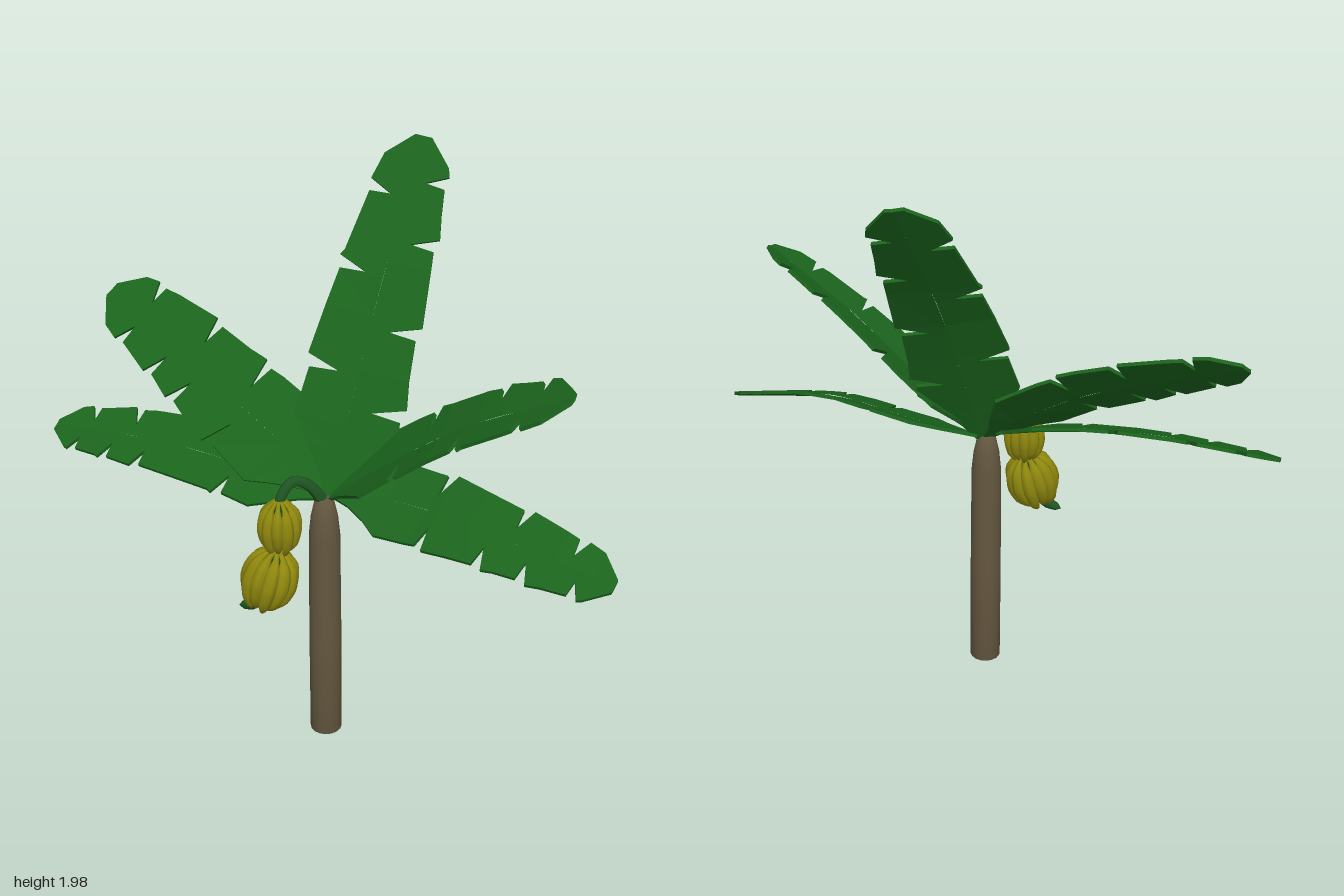
import * as THREE from 'three';

const V = (x, y, z) => new THREE.Vector3(x, y, z);
const material = (color) => new THREE.MeshStandardMaterial({ color });
const leafMaterial = material(0x1b641d);
const stalkMaterial = material(0x1f5522);
const trunkMaterial = material(0x63573f);
const bananaMaterial = material(0x8f880e);

leafMaterial.flatShading = true;

function addMesh(parent, name, geometry, mat) {
  const mesh = new THREE.Mesh(geometry, mat);
  mesh.name = name;
  parent.add(mesh);
  return mesh;
}

// Tube whose radius follows a rule along its length
function taperedTube(points, segments, sides, radiusAt) {
  const curve = new THREE.CatmullRomCurve3(points);
  const geometry = new THREE.TubeGeometry(curve, segments, 1, sides);
  const position = geometry.attributes.position;
  const p = V(0, 0, 0);
  for (let i = 0; i <= segments; i++) {
    const centre = curve.getPointAt(i / segments);
    for (let j = 0; j <= sides; j++) {
      const k = i * (sides + 1) + j;
      p.fromBufferAttribute(position, k).sub(centre);
      p.multiplyScalar(radiusAt(i / segments)).add(centre);
      position.setXYZ(k, p.x, p.y, p.z);
    }
  }
  geometry.computeVertexNormals();
  return geometry;
}

// Piecewise linear lookup
function lerpTable(table, t) {
  for (let i = 1; i < table.length; i++) {
    const [a, va] = table[i - 1], [b, vb] = table[i];
    if (t <= b) return va + (vb - va) * (t - a) / (b - a);
  }
  return table[table.length - 1][1];
}

const bladeProfile = [[0, 0.1], [0.06, 0.3], [0.2, 1], [0.5, 0.9], [0.75, 0.78], [0.93, 0.62], [1, 0.16]];
const THICKNESS = 0.006;

// Torn leaf blade: two half blades along a bent rib, with wedge-shaped tears
function leafGeometry({ rib, across, halfWidth, fold = 0.12, tears }) {
  const curve = new THREE.CatmullRomCurve3(rib.map((p) => V(...p)));
  const hint = V(...across);
  const positions = [];
  const quad = (a, b, c, d) => {
    for (const p of [a, b, c, a, c, d]) positions.push(p.x, p.y, p.z);
  };

  function section(t, reach, side) {
    const tangent = curve.getTangentAt(t);
    const v = hint.clone().addScaledVector(tangent, -hint.dot(tangent)).normalize();
    const n = v.clone().cross(tangent);
    const w = halfWidth * lerpTable(bladeProfile, t) * reach;
    const centre = curve.getPointAt(t);
    const edge = centre.clone().addScaledVector(v, w * side).addScaledVector(n, w * fold);
    const shift = (p, s) => p.clone().addScaledVector(n, s * THICKNESS);
    return { rt: shift(centre, 1), rb: shift(centre, -1), et: shift(edge, 1), eb: shift(edge, -1) };
  }

  for (const side of [1, -1]) {
    const cuts = tears[side > 0 ? 0 : 1];
    const stations = [0, 0.06, 0.13, 0.2, 0.35, 0.5, 0.65, 0.8, 0.93, 1]
      .filter((t) => !cuts.some((c) => t > c - 0.02 && t < c + 0.05))
      .map((t) => [t, 1]);
    for (const c of cuts) stations.push([c, 0.97], [c + 0.006, 0.4], [c + 0.035, 1.06]);
    stations.sort((a, b) => a[0] - b[0]);
    const s = stations.map(([t, reach]) => section(t, reach, side));
    for (let i = 1; i < s.length; i++) {
      const a = s[i - 1], b = s[i];
      if (side > 0) {
        quad(a.rt, a.et, b.et, b.rt);
        quad(a.rb, b.rb, b.eb, a.eb);
        quad(a.et, a.eb, b.eb, b.et);
      } else {
        quad(a.rt, b.rt, b.et, a.et);
        quad(a.rb, a.eb, b.eb, b.rb);
        quad(a.et, b.et, b.eb, a.eb);
      }
    }
    // Close the blunt tip
    const e = s[s.length - 1];
    if (side > 0) quad(e.rt, e.et, e.eb, e.rb);
    else quad(e.rt, e.rb, e.eb, e.et);
  }
  const geometry = new THREE.BufferGeometry();
  geometry.setAttribute('position', new THREE.Float32BufferAttribute(positions, 3));
  geometry.computeVertexNormals();
  return geometry;
}

const leaves = {
  tallBackLeaf: {
    rib: [[0.02, 0.93, 0.18], [0.035, 1.16, 0.07], [0.055, 1.5, -0.11], [0.08, 1.97, -0.45]],
    across: [1, -0.08, -0.22], halfWidth: 0.175, fold: 0.06,
    tears: [[0.24, 0.46, 0.7, 0.87], [0.33, 0.6, 0.82]],
  },
  upperRightLeaf: {
    rib: [[0, 0.94, 0.18], [-0.16, 1.07, 0.15], [-0.35, 1.185, 0.12], [-0.6, 1.31, 0.04], [-0.89, 1.43, -0.03]],
    across: [0, 0.7, -0.7], halfWidth: 0.175, fold: 0.05,
    tears: [[0.4, 0.62, 0.85], [0.36, 0.55, 0.68, 0.84]],
  },
  lowerRightLeaf: {
    rib: [[0, 0.94, 0.2], [-0.3, 1.0, 0.21], [-0.6, 1.02, 0.21], [-1, 1.0, 0.215]],
    across: [0, 0.4, -0.9], halfWidth: 0.14, fold: 0.06,
    tears: [[0.45, 0.7, 0.86], [0.3, 0.62, 0.75, 0.88]],
  },
  upperLeftLeaf: {
    rib: [[0.03, 0.94, 0.19], [0.25, 1.12, 0.185], [0.5, 1.31, 0.22], [0.83, 1.5, 0.28]],
    across: [0, -0.25, 1], halfWidth: 0.16, fold: 0.14,
    tears: [[0.34, 0.6, 0.83], [0.42, 0.7, 0.86]],
  },
  lowerLeftLeaf: {
    rib: [[0.03, 0.94, 0.17], [0.25, 0.96, 0.165], [0.6, 0.965, 0.245], [1, 0.9, 0.275]],
    across: [0, -0.42, 0.9], halfWidth: 0.15, fold: 0.06,
    tears: [[0.38, 0.58, 0.72, 0.88], [0.34, 0.64, 0.84]],
  },
};

// Ring of curved bananas hanging from a point along a tilted axis
function bananaBunch(name, top, bottom, radius, thickness, count) {
  const bunch = new THREE.Group();
  bunch.name = name;
  const axis = bottom.clone().sub(top);
  const h = axis.length();
  bunch.position.copy(top);
  bunch.quaternion.setFromUnitVectors(V(0, -1, 0), axis.normalize());
  const path = [V(0.012, 0, 0), V(radius * 0.7, -0.14 * h, 0), V(radius, -0.45 * h, 0),
    V(radius * 0.85, -0.78 * h, 0), V(radius * 0.5, -h, 0)];
  const taper = [[0, 0.25], [0.15, 0.4], [0.3, 0.9], [0.55, 1], [0.8, 0.8], [0.93, 0.4], [1, 0.02]];
  const geometry = taperedTube(path, 14, 7, (t) => thickness * lerpTable(taper, t));
  for (let i = 0; i < count; i++) {
    const banana = addMesh(bunch, 'banana', geometry, bananaMaterial);
    banana.rotation.y = (i / count) * Math.PI * 2;
    banana.scale.y = i % 2 ? 1 : 0.95;
  }
  return bunch;
}

export function createModel() {
  const tree = new THREE.Group();
  tree.name = 'bananaTree';

  // Trunk, narrowing under the crown
  const trunkProfile = [[0, 0], [0.055, 0], [0.055, 0.4], [0.052, 0.8], [0.045, 0.87], [0.03, 0.94], [0, 0.945]];
  const trunk = addMesh(tree, 'trunk',
    new THREE.LatheGeometry(trunkProfile.map(([x, y]) => new THREE.Vector2(x, y)), 16), trunkMaterial);
  trunk.position.set(0.008, 0, 0.198);

  // Crown of five leaves
  for (const [name, spec] of Object.entries(leaves)) addMesh(tree, name, leafGeometry(spec), leafMaterial);

  // Fruit stalk arching over and running down through both bunches
  const stalk = [V(0.01, 0.92, 0.2), V(-0.03, 1.0, 0.24), V(-0.065, 1.025, 0.28), V(-0.088, 0.98, 0.325),
    V(-0.09, 0.86, 0.335), V(-0.095, 0.77, 0.345), V(-0.12, 0.66, 0.37), V(-0.15, 0.6, 0.38), V(-0.22, 0.57, 0.385)];
  addMesh(tree, 'fruitStalk', taperedTube(stalk, 40, 8,
    (t) => lerpTable([[0, 0.02], [0.3, 0.017], [0.85, 0.015], [0.93, 0.021], [0.98, 0.014], [1, 0.001]], t)), stalkMaterial);

  tree.add(bananaBunch('upperBunch', V(-0.09, 0.975, 0.33), V(-0.09, 0.78, 0.335), 0.056, 0.02, 10));
  tree.add(bananaBunch('lowerBunch', V(-0.092, 0.8, 0.345), V(-0.138, 0.58, 0.385), 0.073, 0.025, 11));
  return tree;
}
